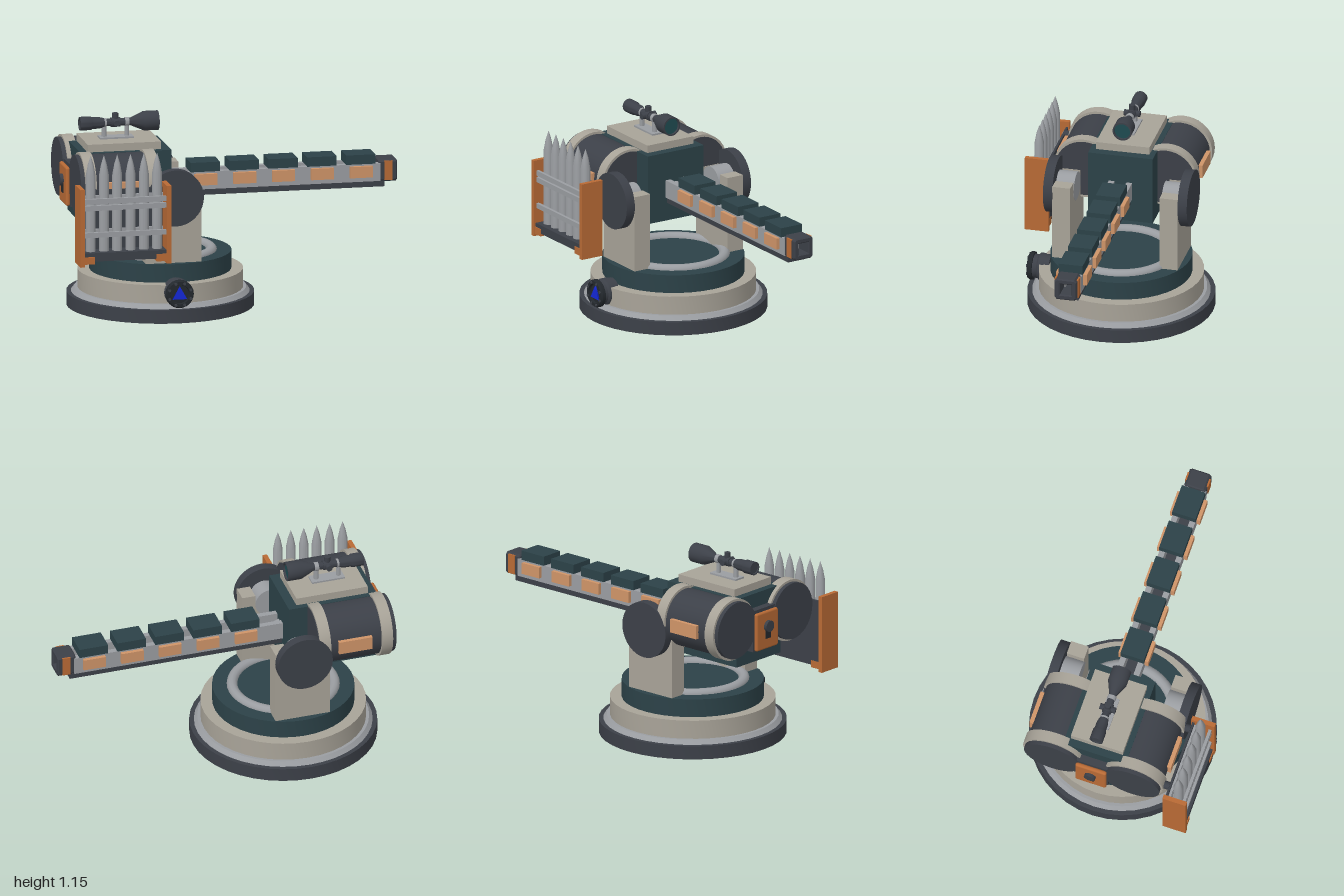
import * as THREE from 'three';
import { RoundedBoxGeometry } from 'three/addons/geometries/RoundedBoxGeometry.js';
import { toCreasedNormals } from 'three/addons/utils/BufferGeometryUtils.js';

const mat = (color) => new THREE.MeshStandardMaterial({ color });
const DARK = mat(0x3c4048), BLACK = mat(0x23282d), TEAL = mat(0x2c4248), BEIGE = mat(0xa8a398);
const GREY = mat(0x9a9da1), ORANGE = mat(0xb86a35), COPPER = mat(0xcf9468), BLUE = mat(0x1428d8);
const LENS = mat(0x1f4a50);
const AXIS = -0.02; // z of the turret's plane of symmetry
const PIVOT = -0.395; // x of the base centre

export function createModel() {
  const root = new THREE.Group();
  root.name = 'turret';

  const group = (name, x = 0, y = 0, z = 0) => {
    const g = new THREE.Group();
    g.name = name;
    g.position.set(x, y, z);
    root.add(g);
    return g;
  };
  const add = (parent, name, geo, material, x = 0, y = 0, z = 0) => {
    const m = new THREE.Mesh(geo, material);
    m.name = name;
    m.position.set(x, y, z);
    parent.add(m);
    return m;
  };
  // box given by its min and max along each axis
  const box = (parent, name, material, x0, x1, y0, y1, z0, z1) =>
    add(parent, name, new THREE.BoxGeometry(x1 - x0, y1 - y0, z1 - z0), material,
      (x0 + x1) / 2, (y0 + y1) / 2, (z0 + z1) / 2);
  // solid of revolution about 'x', 'y' or 'z', from [radius, distance] points
  const lathe = (points, axis = 'y', segments = 32) => {
    const geo = toCreasedNormals(
      new THREE.LatheGeometry(points.map(([r, d]) => new THREE.Vector2(r, d)), segments), 0.6);
    if (axis === 'x') geo.rotateZ(-Math.PI / 2);
    if (axis === 'z') geo.rotateX(Math.PI / 2);
    return geo;
  };
  const rod = (r, a, b, axis, segments) => lathe([[0, a], [r, a], [r, b], [0, b]], axis, segments);

  // stepped round base
  const base = group('base', PIVOT, 0, AXIS);
  add(base, 'basePlate', rod(0.547, 0, 0.08, 'y', 40), DARK);
  add(base, 'baseRing', lathe([[0, 0.08], [0.52, 0.08], [0.5, 0.105], [0, 0.105]], 'y', 40), GREY);
  add(base, 'baseDrum', rod(0.482, 0.1, 0.215, 'y', 40), BEIGE);
  add(base, 'turntable', rod(0.414, 0.215, 0.323, 'y', 40), TEAL);
  const ring = add(base, 'turntableRing', new THREE.TorusGeometry(0.298, 0.032, 12, 40), GREY, 0, 0.32, 0);
  ring.rotation.x = Math.PI / 2;

  // indicator lamp on the front of the base
  const lamp = group('indicatorLamp', PIVOT, 0.172, 0);
  add(lamp, 'lampMount', rod(0.075, 0.4, 0.47, 'z', 24), DARK);
  add(lamp, 'lampNeck', lathe([[0.08, 0.43], [0.08, 0.465], [0.07, 0.475], [0.07, 0.505]], 'z', 24), DARK);
  add(lamp, 'lampRim', lathe([[0.06, 0.5], [0.083, 0.5], [0.083, 0.52], [0.076, 0.53], [0.058, 0.53],
    [0.054, 0.515], [0, 0.515]], 'z', 24), BLACK);
  add(lamp, 'lampLight', new THREE.CylinderGeometry(0.05, 0.05, 0.01, 3).rotateX(Math.PI / 2).rotateZ(Math.PI),
    BLUE, 0, -0.005, 0.52);
  for (let i = 0; i < 8; i++) {
    const a = (i + 0.5) * Math.PI / 4;
    add(lamp, 'lampStud', rod(0.009, 0.525, 0.534, 'z', 8), DARK, 0.068 * Math.cos(a), 0.068 * Math.sin(a));
  }

  // yoke: arm with a round notch, hub and cover disc on each side
  const armShape = new THREE.Shape();
  armShape.moveTo(-0.168, 0.32);
  armShape.lineTo(0.165, 0.32);
  armShape.lineTo(0.165, 0.778);
  armShape.lineTo(0.085, 0.778);
  armShape.lineTo(0.085, 0.718);
  armShape.absarc(0, 0.718, 0.085, 0, Math.PI, true);
  armShape.lineTo(-0.085, 0.778);
  armShape.lineTo(-0.168, 0.778);
  const armGeo = new THREE.ExtrudeGeometry(armShape, { depth: 0.108, bevelEnabled: false, curveSegments: 16 });
  for (const s of [1, -1]) {
    const yoke = group(s > 0 ? 'frontYoke' : 'backYoke', PIVOT, 0, AXIS);
    add(yoke, 'yokeArm', armGeo, BEIGE, 0, 0, s > 0 ? 0.267 : -0.375);
    add(yoke, 'yokeHub', rod(0.085, -0.055, 0.06, 'z'), GREY, 0, 0.718, s * 0.32);
    add(yoke, 'yokeDisc', rod(0.167, -0.028, 0.028, 'z', 36), DARK, 0, 0.718, s * 0.402);
  }

  // receiver box, top plate and rear hatch
  const body = group('receiver', 0, 0, AXIS);
  box(body, 'receiverBox', TEAL, -0.905, -0.37, 0.54, 0.955, -0.193, 0.193);
  box(body, 'topPlate', BEIGE, -0.86, -0.425, 0.955, 1.0, -0.16, 0.16);
  box(body, 'rearBlock', DARK, -0.95, -0.9, 0.62, 0.87, -0.1, 0.1);
  add(body, 'rearHatch', new RoundedBoxGeometry(0.026, 0.23, 0.19, 3, 0.012), ORANGE, -0.963, 0.74, 0);
  box(body, 'hatchSlot', BLACK, -0.981, -0.97, 0.69, 0.76, -0.022, 0.022);
  add(body, 'hatchKnob', rod(0.034, -0.014, 0.014, 'x', 16), DARK, -0.982, 0.765, 0);

  // side drums with two bands and an outer plate
  for (const s of [1, -1]) {
    const drum = group(s > 0 ? 'frontDrum' : 'backDrum', 0, 0.79, AXIS + s * 0.245);
    add(drum, 'drumBody', rod(0.171, -0.955, -0.483, 'x', 36), DARK);
    for (const x of [-0.93, -0.553]) add(drum, 'drumBand', rod(0.185, x, x + 0.066, 'x', 36), BEIGE);
    box(drum, 'drumPlate', COPPER, -0.803, -0.6, -0.04, 0.04, s * 0.17 - 0.02, s * 0.17 + 0.02);
  }

  // barrel: twin rails over a dark floor, with armour blocks and side plates
  const barrel = group('barrel', 0, 0, AXIS);
  box(barrel, 'barrelFloor', DARK, -0.38, 0.925, 0.647, 0.682, -0.06, 0.06);
  for (const s of [1, -1]) {
    const rail = box(barrel, 'barrelRail', GREY, -0.38, 0.9, 0.682, 0.787, -0.017, 0.017);
    rail.position.z = s * 0.053;
  }
  for (let i = 0; i < 5; i++) {
    const x = -0.142 + i * 0.231;
    box(barrel, 'barrelBlock', TEAL, x - 0.087, x + 0.087, 0.787, 0.843, -0.072, 0.072);
    for (const s of [1, -1]) {
      const plate = box(barrel, 'barrelSidePlate', COPPER, x - 0.067, x + 0.067, 0.71, 0.777, -0.014, 0.014);
      plate.position.z = s * 0.078;
    }
  }
  add(barrel, 'chamberTip', lathe([[0.03, -0.4], [0.03, -0.375], [0, -0.28]], 'x', 16), GREY, 0, 0.742, 0);

  // square muzzle with a square bore
  const muzzle = new THREE.Shape();
  const c = 0.052, h = 0.066;
  [[-c, -h], [c, -h], [h, -c], [h, c], [c, h], [-c, h], [-h, c], [-h, -c]]
    .forEach(([u, v], i) => (i ? muzzle.lineTo(u, v) : muzzle.moveTo(u, v)));
  const bore = new THREE.Path();
  [[-1, -1], [-1, 1], [1, 1], [1, -1]]
    .forEach(([u, v], i) => (i ? bore.lineTo(u * 0.033, v * 0.033) : bore.moveTo(u * 0.033, v * 0.033)));
  muzzle.holes.push(bore);
  const muzzleGeo = new THREE.ExtrudeGeometry(muzzle,
    { depth: 0.096, bevelThickness: 0.007, bevelSize: 0.007, bevelOffset: -0.007, bevelSegments: 1 });
  add(barrel, 'muzzle', muzzleGeo.rotateY(Math.PI / 2), DARK, 0.897, 0.742, 0);
  for (const s of [1, -1]) {
    const plate = box(barrel, 'muzzlePlate', ORANGE, 0.923, 0.972, 0.685, 0.8, -0.005, 0.005);
    plate.position.z = s * 0.066;
  }

  // sighting scope on two posts
  const scope = group('scope', 0, 1.092, AXIS);
  add(scope, 'scopeTube', lathe([[0, -0.868], [0.032, -0.868], [0.032, -0.875], [0.04, -0.875], [0.04, -0.81],
    [0.034, -0.8], [0.034, -0.76], [0.022, -0.715], [0.022, -0.575], [0.057, -0.495], [0.057, -0.41],
    [0.048, -0.41], [0.048, -0.425]], 'x', 28), DARK);
  add(scope, 'scopeLens', rod(0.05, -0.43, -0.422, 'x', 28), LENS);
  add(scope, 'scopeCollar', rod(0.028, -0.69, -0.635, 'x', 20), DARK);
  add(scope, 'elevationKnob', rod(0.018, 0, 0.055, 'y', 16), DARK, -0.663);
  add(scope, 'windageKnob', rod(0.018, -0.048, 0.048, 'z', 16), DARK, -0.663);
  box(scope, 'scopeFoot', GREY, -0.76, -0.56, -0.092, -0.082, -0.037, 0.037);
  for (const x of [-0.73, -0.595]) {
    add(scope, 'scopePost', rod(0.014, -0.085, 0, 'y', 12), GREY, x);
    add(scope, 'scopeClamp', rod(0.026, -0.012, 0.012, 'x', 20), GREY, x);
  }

  // shell rack on the front side
  const rack = group('shellRack');
  for (const [x, foot] of [[-0.998, 1], [-0.483, -1]]) {
    box(rack, 'rackEnd', ORANGE, x, x + 0.027, 0.37, 0.832, 0.43, 0.573);
    const f = box(rack, 'rackFoot', ORANGE, -0.035, 0.035, 0.385, 0.428, 0.435, 0.568);
    f.position.x = x + 0.0135 + foot * 0.04;
  }
  box(rack, 'rackTray', DARK, -0.975, -0.475, 0.4, 0.45, 0.437, 0.562);
  box(rack, 'rackBack', DARK, -0.975, -0.475, 0.44, 0.8, 0.437, 0.45);
  for (const y of [0.54, 0.7, 0.74]) {
    box(rack, 'rackBar', GREY, -0.975, -0.475, y, y + 0.03, 0.538, 0.556);
    box(rack, 'rackInnerBar', GREY, -0.975, -0.475, y, y + 0.03, 0.45, 0.465);
  }
  const shell = lathe([[0, 0.445], [0.029, 0.445], [0.029, 0.9], [0.017, 0.965], [0, 1.02]], 'y', 18);
  for (let i = 0; i < 6; i++) add(rack, 'shell', shell, GREY, -0.922 + i * 0.079, 0, 0.503);
  for (const x of [-0.897, -0.523]) add(rack, 'rackPeg', rod(0.024, 0.36, 0.44, 'z', 14), DARK, x, 0.79);

  return root;
}
